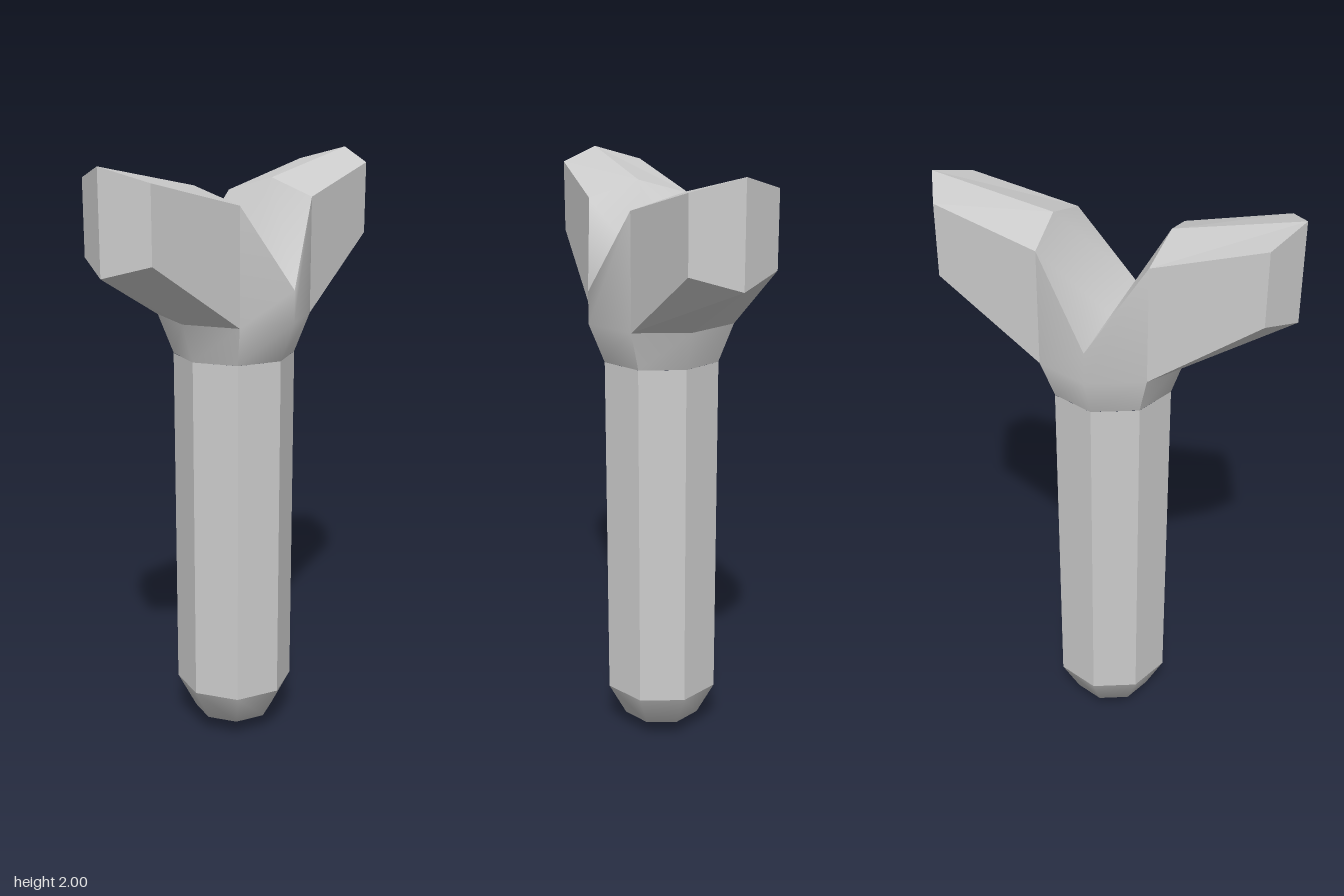
import * as THREE from 'three';
import { mergeVertices } from 'three/addons/utils/BufferGeometryUtils.js';

const grey = new THREE.MeshStandardMaterial({ color: 0xcccccc });
const faceted = new THREE.MeshStandardMaterial({ color: 0xcccccc, flatShading: true });

// Builds quads given for the +x +z quarter, mirrored to the chosen quarters
function panels(name, quads, xSides, smooth) {
  const pos = [];
  for (const sx of xSides) for (const sz of [1, -1]) for (const quad of quads) {
    const corners = quad.map(([x, y, z]) => [x * sx, y, z * sz]);
    if (sx * sz < 0) corners.reverse();
    for (const i of [0, 1, 2, 0, 2, 3]) pos.push(...corners[i]);
  }
  let geo = new THREE.BufferGeometry();
  geo.setAttribute('position', new THREE.Float32BufferAttribute(pos, 3));
  if (smooth) geo = mergeVertices(geo);
  geo.computeVertexNormals();
  const mesh = new THREE.Mesh(geo, smooth ? grey : faceted);
  mesh.name = name;
  return mesh;
}

export function createModel() {
  const model = new THREE.Group();
  model.name = 'forkedPost';

  // Octagonal shaft
  const shaft = new THREE.Mesh(new THREE.CylinderGeometry(0.2, 0.2, 1.18, 8, 1, true), faceted);
  shaft.position.y = 0.775;
  shaft.name = 'shaft';

  // Rounded foot
  const profile = [[0, 0], [0.137, 0.065], [0.2, 0.185]].map(([x, y]) => new THREE.Vector2(x, y));
  const foot = new THREE.Mesh(new THREE.LatheGeometry(profile, 8), grey);
  foot.name = 'roundedFoot';
  model.add(shaft, foot);

  // Corner points of the fork in the +x +z quarter
  const neckFront = [0, 1.365, 0.2], neckCorner = [0.141, 1.365, 0.141], neckSide = [0.2, 1.365, 0];
  const collarFront = [0, 1.495, 0.253], collarCorner = [0.175, 1.495, 0.178], collarSide = [0.245, 1.495, 0];
  const valleyFront = [0, 1.6, 0.253], valleyMid = [0, 1.6, 0];
  const rootCorner = [0.175, 1.87, 0.178], rootRidge = [0.187, 1.92, 0];
  const tipLow = [0.515, 1.722, 0.143], tipHigh = [0.515, 1.957, 0.143];
  const endLow = [0.585, 1.68, 0], endHigh = [0.585, 2, 0];

  // Flared collar, webs and the valley between the arms
  model.add(panels('forkBody', [
    [neckFront, neckCorner, collarCorner, collarFront],
    [collarFront, collarCorner, rootCorner, valleyFront],
  ], [1, -1], true));
  model.add(panels('collarSides', [[neckCorner, neckSide, collarSide, collarCorner]], [1, -1], true));
  model.add(panels('valley', [[valleyFront, rootCorner, rootRidge, valleyMid]], [1, -1], true));

  // Faceted arms
  for (const [name, side] of [['leftArm', 1], ['rightArm', -1]]) {
    model.add(panels(name, [
      [collarCorner, tipLow, tipHigh, rootCorner],
      [rootCorner, tipHigh, endHigh, rootRidge],
      [tipLow, endLow, endHigh, tipHigh],
      [collarCorner, collarSide, endLow, tipLow],
    ], [side], false));
  }
  return model;
}
